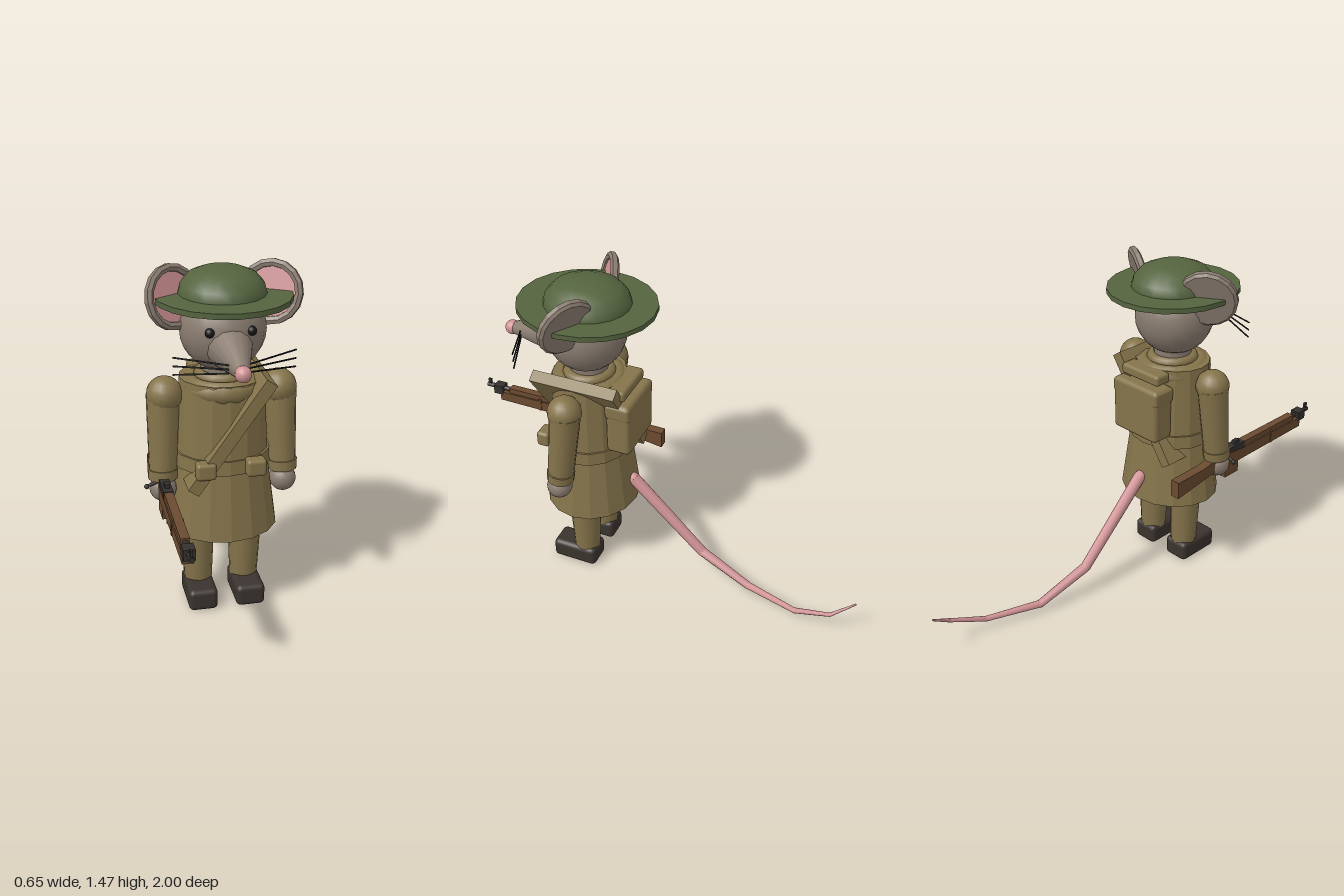
import * as THREE from 'three';
import { RoundedBoxGeometry } from 'three/addons/geometries/RoundedBoxGeometry.js';

const mat = (name, color) => {
  const m = new THREE.MeshStandardMaterial({ color });
  m.name = name;
  return m;
};

export function createModel() {
  const khaki = mat('khaki cloth', 0x85744b);
  const fur = mat('grey fur', 0x8a7c70);
  const pink = mat('pink skin', 0xd09294);
  const green = mat('helmet green', 0x55643f);
  const leather = mat('boot leather', 0x3a332e);
  const wood = mat('rifle wood', 0x6b4a30);
  const metal = mat('gun metal', 0x34312e);
  const black = mat('black', 0x17171a);

  const model = new THREE.Group();
  const body = new THREE.Group(); // everything centred on the torso axis
  body.name = 'body';
  body.position.set(0.006, 0, 0.3);
  model.add(body);

  const add = (parent, name, geo, material, x = 0, y = 0, z = 0) => {
    const m = new THREE.Mesh(geo, material);
    m.name = name;
    m.position.set(x, y, z);
    parent.add(m);
    return m;
  };
  const flat = (geo) => {
    const g = geo.index ? geo.toNonIndexed() : geo;
    g.computeVertexNormals();
    return g;
  };
  const ball = (r) => new THREE.SphereGeometry(r, 16, 12);
  const box = (w, h, d) => new THREE.BoxGeometry(w, h, d);
  const soft = (w, h, d, r) => new RoundedBoxGeometry(w, h, d, 2, r);
  // tapered round bar from point a to point b
  const bar = (parent, name, a, b, ra, rb, material, sides = 12) => {
    const p = new THREE.Vector3(...a), q = new THREE.Vector3(...b);
    const dir = q.clone().sub(p);
    const m = add(parent, name, new THREE.CylinderGeometry(rb, ra, dir.length(), sides), material);
    m.position.copy(p).lerp(q, 0.5);
    m.quaternion.setFromUnitVectors(new THREE.Vector3(0, 1, 0), dir.normalize());
    return m;
  };

  // Coat
  const coatRing = (name, top, bottom, y0, y1) => {
    const geo = flat(new THREE.CylinderGeometry(top, bottom, y1 - y0, 16));
    add(body, name, geo, khaki, 0, (y0 + y1) / 2).scale.z = 0.9;
  };
  coatRing('coatSkirt', 0.192, 0.236, 0.365, 0.68);
  coatRing('coatTorso', 0.176, 0.194, 0.66, 1.02);
  coatRing('belt', 0.2, 0.203, 0.65, 0.71);
  const ring = (name, R, r, y) => {
    const geo = new THREE.TorusGeometry(R, r, 8, 18).rotateX(Math.PI / 2);
    return add(body, name, geo, khaki, 0, y);
  };
  ring('cape', 0.128, 0.045, 0.985);
  ring('collar', 0.09, 0.025, 1.025);
  add(body, 'neck', new THREE.CylinderGeometry(0.085, 0.085, 0.1, 14), fur, 0, 1.03);

  // Cross strap, running through the body to the back
  const strap = add(body, 'strap', box(0.052, 0.545, 0.39), khaki, 0.002, 0.817, 0.002);
  strap.rotation.z = -0.61;

  // Pack on the back
  add(body, 'pack', soft(0.26, 0.25, 0.11, 0.02), khaki, 0, 0.835, -0.185);
  add(body, 'packFlap', soft(0.265, 0.07, 0.115, 0.015), khaki, 0, 0.92, -0.183);
  add(body, 'packRoll', soft(0.22, 0.05, 0.08, 0.015), khaki, 0, 0.995, -0.17);

  for (const s of [-1, 1]) {
    // Legs, boots and belt pouches
    bar(body, 'leg', [s * 0.1, 0.07, 0], [s * 0.103, 0.4, 0], 0.059, 0.074, khaki, 14);
    add(body, 'boot', soft(0.124, 0.095, 0.215, 0.022), leather, s * 0.102, 0.055, 0.045);
    add(body, 'beltPouch', soft(0.082, 0.072, 0.06, 0.015), khaki, s * 0.102, 0.684, 0.18);

    // Arms
    add(body, 'shoulder', ball(0.074), khaki, s * 0.236, 0.953, 0.005);
    bar(body, 'sleeve', [s * 0.252, 0.6, 0.035], [s * 0.242, 0.95, 0], 0.056, 0.068, khaki, 14);
    bar(body, 'cuff', [s * 0.253, 0.597, 0.036], [s * 0.252, 0.64, 0.032], 0.06, 0.062, khaki, 14);
    add(body, 'hand', ball(0.056), fur, s * 0.253, 0.556, 0.043);

    // Eyes and whiskers
    add(body, 'eye', ball(0.019), black, s * 0.082, 1.245, 0.155);
    for (const k of [-1, 0, 1]) {
      bar(body, 'whisker', [s * 0.04, 1.15 + k * 0.016, 0.302],
        [s * 0.238, 1.15 + k * 0.034, 0.228], 0.0035, 0.0035, black, 5);
    }

    // Ears: dished discs turned inward and leaning back
    const ear = new THREE.Group();
    ear.name = s < 0 ? 'rightEar' : 'leftEar';
    ear.position.set(s * 0.198, 1.347, -0.008);
    ear.rotation.set(-0.24, -s * 0.55, 0, 'YXZ');
    body.add(ear);
    const profile = [[0, -0.018], [0.118, -0.018], [0.13, -0.008], [0.13, 0.012],
      [0.115, 0.02], [0.1, 0.014], [0.098, 0.002], [0, 0.002]];
    const shell = new THREE.LatheGeometry(profile.map(([x, y]) => new THREE.Vector2(x, y)), 16);
    add(ear, 'earShell', flat(shell.rotateX(Math.PI / 2)), fur);
    add(ear, 'innerEar', new THREE.CircleGeometry(0.1, 16), pink, 0, 0, 0.007);
  }

  // Head
  add(body, 'head', new THREE.SphereGeometry(0.174, 20, 14), fur, 0, 1.22, 0.006);
  bar(body, 'snout', [0, 1.178, 0.12], [0, 1.15, 0.35], 0.097, 0.028, fur, 14);
  add(body, 'nose', ball(0.032), pink, 0, 1.15, 0.363);

  // Helmet
  const crown = [[0, 1.278], [0.14, 1.28], [0.16, 1.3], [0.174, 1.335], [0.176, 1.36],
    [0.166, 1.395], [0.135, 1.43], [0.085, 1.451], [0.04, 1.457], [0, 1.459]];
  const crownGeo = new THREE.LatheGeometry(crown.map(([x, y]) => new THREE.Vector2(x, y)), 20);
  add(body, 'helmetCrown', crownGeo, green, 0, 0, -0.006).scale.z = 1.06;
  const brim = add(body, 'helmetBrim', new THREE.CylinderGeometry(0.277, 0.277, 0.022, 20), green, 0, 1.347, -0.004);
  brim.scale.z = 1.08;

  // Tail: tapering straight pieces
  const tail = [[0.005, 0.48, 0.1], [0.005, 0.145, -0.245], [0.04, 0.05, -0.487],
    [0.115, 0.06, -0.73], [0.143, 0.13, -0.895], [0.112, 0.207, -0.995]];
  const radii = [0.028, 0.023, 0.018, 0.013, 0.009, 0.004];
  for (let i = 0; i < 5; i++) {
    bar(model, 'tail', tail[i], tail[i + 1], radii[i], radii[i + 1], pink, 8);
    add(model, 'tailJoint', new THREE.SphereGeometry(radii[i], 8, 6), pink, ...tail[i]);
  }

  // Rifle, held level at the right side
  const rifle = new THREE.Group();
  rifle.name = 'rifle';
  rifle.position.x = -0.25;
  model.add(rifle);
  const side = [[0.06, 0.5], [0.06, 0.58], [0.22, 0.582], [0.34, 0.6], [0.5, 0.585],
    [0.92, 0.585], [0.92, 0.538], [0.45, 0.532], [0.3, 0.535]];
  const stock = new THREE.ExtrudeGeometry(new THREE.Shape(side.map(([z, y]) => new THREE.Vector2(z, y))),
    { depth: 0.044, bevelEnabled: false });
  add(rifle, 'stock', stock.translate(0, 0, -0.022).rotateY(-Math.PI / 2), wood);
  add(rifle, 'handguard', box(0.036, 0.026, 0.37), wood, 0, 0.601, 0.685);
  add(rifle, 'magazine', box(0.04, 0.08, 0.09), wood, 0, 0.515, 0.42);
  add(rifle, 'receiver', box(0.04, 0.05, 0.19), metal, 0, 0.592, 0.41);
  add(rifle, 'rearSight', box(0.02, 0.03, 0.03), metal, 0, 0.618, 0.46);
  add(rifle, 'band', box(0.05, 0.062, 0.014), wood, 0, 0.566, 0.7);
  add(rifle, 'noseCap', box(0.046, 0.045, 0.05), metal, 0, 0.592, 0.93);
  bar(rifle, 'barrel', [0, 0.598, 0.5], [0, 0.598, 1], 0.011, 0.011, metal, 8);
  add(rifle, 'frontSight', box(0.01, 0.034, 0.016), metal, 0, 0.616, 0.985);
  bar(rifle, 'boltHandle', [0, 0.605, 0.37], [-0.065, 0.582, 0.37], 0.006, 0.006, metal, 6);
  add(rifle, 'boltKnob', new THREE.SphereGeometry(0.011, 8, 6), metal, -0.068, 0.58, 0.37);

  return model;
}
